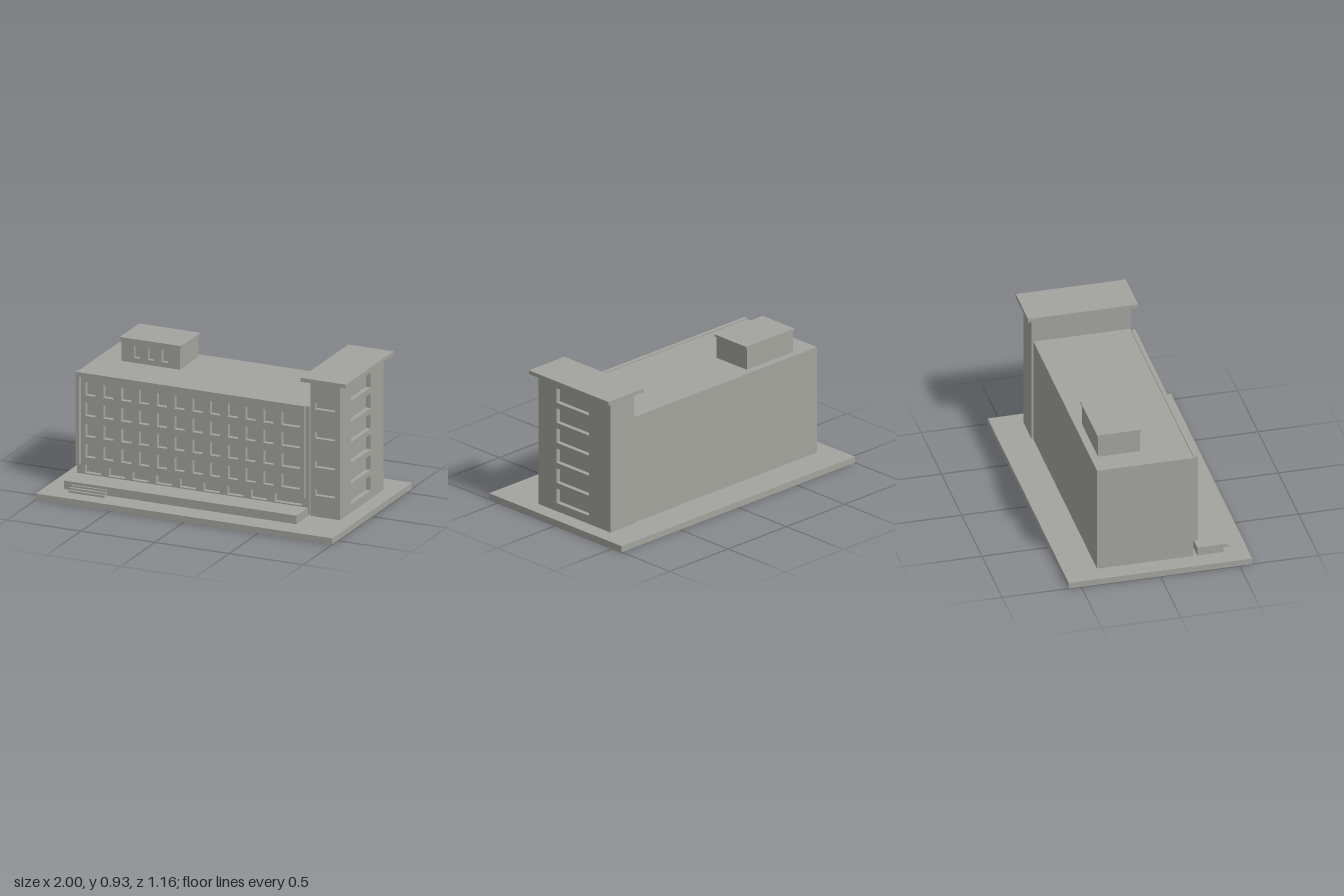
import * as THREE from 'three';

const concrete = new THREE.MeshStandardMaterial({ color: 0xa3a49e });
concrete.name = 'grey concrete';

// Box given by its minimum and maximum corners
function block(parent, name, [x0, x1], [y0, y1], [z0, z1]) {
  const mesh = new THREE.Mesh(new THREE.BoxGeometry(x1 - x0, y1 - y0, z1 - z0), concrete);
  mesh.position.set((x0 + x1) / 2, (y0 + y1) / 2, (z0 + z1) / 2);
  mesh.name = name;
  parent.add(mesh);
  return mesh;
}

// Wall in the XY plane pierced by rectangular openings [x0, x1, y0, y1]
function wall(parent, name, [x0, x1], [y0, y1], openings, depth) {
  const trace = (path, a, b, c, d) =>
    path.moveTo(a, c).lineTo(b, c).lineTo(b, d).lineTo(a, d).lineTo(a, c);
  const shape = trace(new THREE.Shape(), x0, x1, y0, y1);
  for (const [a, b, c, d] of openings) shape.holes.push(trace(new THREE.Path(), a, b, c, d));
  const mesh = new THREE.Mesh(
    new THREE.ExtrudeGeometry(shape, { depth, bevelEnabled: false }), concrete);
  mesh.name = name;
  parent.add(mesh);
  return mesh;
}

function group(parent, name) {
  const g = new THREE.Group();
  g.name = name;
  parent.add(g);
  return g;
}

export function createModel() {
  const model = new THREE.Group();
  model.name = 'officeBuilding';
  const ground = 0.04;
  block(model, 'basePlate', [-1, 1], [0, ground], [-0.58, 0.58]);

  // Main block: solid core behind a pierced front wall
  const main = group(model, 'mainBlock');
  const mainX = [-0.88, 0.69], mainY = [ground, 0.741];
  block(main, 'mainCore', mainX, mainY, [-0.37, 0.21]);
  const windows = [];
  for (let row = 0; row < 4; row++) {
    const y = 0.195 + row * 0.1337;
    for (let col = 0; col < 11; col++) {
      const x = -0.822 + col * 0.12;
      windows.push([x, x + 0.068, y, y + 0.086]);
    }
    windows.push([0.5, 0.634, y, y + 0.086]);
  }
  // Ground floor windows, the last one wider
  for (let col = 0; col < 9; col++) {
    const x = -0.826 + col * 0.16;
    windows.push([x, col === 8 ? 0.634 : x + 0.108, 0.094, 0.148]);
  }
  wall(main, 'frontWall', mainX, mainY, windows, 0.03).position.z = 0.21;

  // Raised surround of the facade
  const frameZ = [0.24, 0.266];
  block(main, 'frameTop', [-0.88, 0.663], [0.718, 0.748], frameZ);
  block(main, 'frameRight', [-0.88, -0.854], [0.15, 0.718], frameZ);
  block(main, 'frameLeft', [0.637, 0.663], [0.15, 0.718], frameZ);

  // Terrace and entrance steps
  block(model, 'terrace', mainX, [ground, 0.095], [0.263, 0.43]);
  const steps = group(model, 'entranceSteps');
  [[0.053, 0.477], [0.065, 0.46], [0.077, 0.442]].forEach(([top, front], i) =>
    block(steps, 'step' + (i + 1), [-0.826, -0.588], [ground, top], [0.43, front]));

  // Roof house
  const roofHouse = group(model, 'roofHouse');
  const houseX = [-0.72, -0.324], houseY = [0.741, 0.885];
  block(roofHouse, 'houseCore', houseX, houseY, [-0.323, -0.082]);
  const houseWindows = [-0.634, -0.54, -0.447].map(x => [x, x + 0.041, 0.773, 0.854]);
  wall(roofHouse, 'houseFrontWall', houseX, houseY, houseWindows, 0.025).position.z = -0.082;
  block(roofHouse, 'houseRoof', [-0.727, -0.314], [0.884, 0.897], [-0.33, -0.05]);

  // Stair tower: core with pierced front and side walls
  const tower = group(model, 'stairTower');
  const towerY = [ground, 0.903];
  block(tower, 'towerCore', [0.7, 0.87], towerY, [-0.38, 0.22]);
  const slots = [0.176, 0.358, 0.545, 0.733].map(y => [0.729, 0.866, y, y + 0.041]);
  wall(tower, 'towerFrontWall', [0.7, 0.87], towerY, slots, 0.03).position.z = 0.22;
  const sideWindows = [];
  for (let i = 0; i < 6; i++) {
    const y = 0.095 + i * 0.1333;
    sideWindows.push([-0.09, 0.193, y, y + 0.096]);
  }
  const side = wall(tower, 'towerSideWall', [-0.25, 0.38], towerY, sideWindows, 0.03);
  side.rotation.y = Math.PI / 2;
  side.position.x = 0.87;
  block(tower, 'towerNeck', [0.73, 0.87], [0.903, 0.91], [-0.293, 0.11]);
  block(tower, 'towerRoof', [0.647, 0.952], [0.909, 0.934], [-0.415, 0.28]);

  return model;
}
